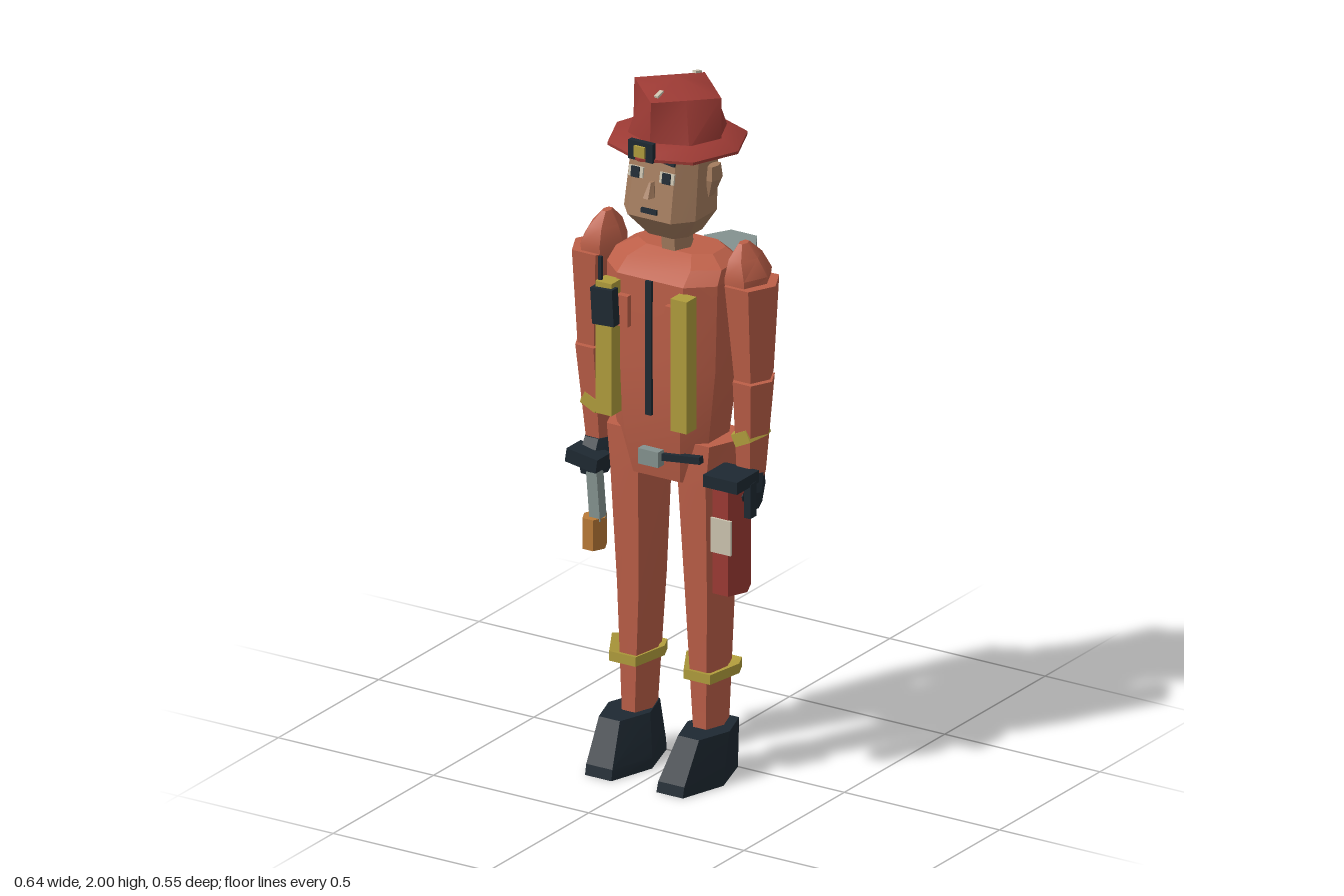
import * as THREE from 'three';
import { toCreasedNormals } from 'three/addons/utils/BufferGeometryUtils.js';

const mat = (name, color) => {
  const m = new THREE.MeshStandardMaterial({ color, side: THREE.DoubleSide });
  m.name = name;
  return m;
};

// Unit cross-sections as [x, z], walked from +x towards +z
const HEX = [[1, 0], [0.5, 1], [-0.5, 1], [-1, 0], [-0.5, -1], [0.5, -1]];
const OCT = [[1, 0.5], [0.6, 1], [-0.6, 1], [-1, 0.5], [-1, -0.5], [-0.6, -1], [0.6, -1], [1, -0.5]];
const ROUND = Array.from({ length: 8 }, (_, i) => [Math.cos(i * Math.PI / 4), Math.sin(i * Math.PI / 4)]);
const DIAMOND = ROUND.map(([x, z], i) => (i % 2 ? [x * 0.71, z * 0.71] : [x, z]));

// Capped loft through sections [y, x0, x1, z0, z1, shape?]; lift raises the sides
function loft(sections, shape, { crease = 0.2, lift = 0 } = {}) {
  const rings = sections.map(([y, x0, x1, z0, z1, own]) => (own || shape).map(([x, z]) => [
    (x0 + x1) / 2 + x * (x1 - x0) / 2, y + lift * Math.abs(x), (z0 + z1) / 2 + z * (z1 - z0) / 2]));
  const centre = ([y, x0, x1, z0, z1]) => [(x0 + x1) / 2, y, (z0 + z1) / 2];
  const n = shape.length, last = rings.length - 1, p = [];
  for (let i = 0; i < n; i++) {
    const j = (i + 1) % n;
    for (let r = 0; r < last; r++) {
      const a = rings[r], b = rings[r + 1];
      p.push(...a[i], ...b[i], ...a[j], ...a[j], ...b[i], ...b[j]);
    }
    p.push(...centre(sections[0]), ...rings[0][i], ...rings[0][j]);
    p.push(...centre(sections[last]), ...rings[last][j], ...rings[last][i]);
  }
  const g = new THREE.BufferGeometry();
  g.setAttribute('position', new THREE.Float32BufferAttribute(p, 3));
  return toCreasedNormals(g, crease);
}

export function createModel() {
  const root = new THREE.Group();
  root.name = 'firefighter';
  const suit = mat('suit orange red', 0xbc5f48);
  const red = mat('helmet red', 0x9c3a34);
  const skin = mat('skin', 0xa47c5e);
  const dark = mat('dark rubber', 0x1e2932);
  const grey = mat('tank grey', 0x84928f);
  const gold = mat('reflective yellow', 0xb09c3c);
  const wood = mat('tool orange', 0xb97a38);
  const cream = mat('label cream', 0xccc4b0);

  const add = (name, geometry, material) => {
    const m = new THREE.Mesh(geometry, material);
    m.name = name;
    root.add(m);
    return m;
  };
  const box = (name, material, x, y, z, w, h, d, rx = 0, rz = 0) => {
    const m = add(name, new THREE.BoxGeometry(w, h, d), material);
    m.position.set(x, y, z);
    m.rotation.set(rx, 0, rz);
    return m;
  };
  const mirror = (sections, s) => sections.map(([y, a, b, ...rest]) => (s > 0 ? [y, a, b, ...rest] : [y, -b, -a, ...rest]));

  // Torso and neck
  add('jacket', loft([
    [0.865, -0.125, 0.125, -0.02, 0.16], [1.0, -0.15, 0.15, -0.025, 0.185],
    [1.2, -0.175, 0.175, -0.035, 0.198], [1.45, -0.178, 0.178, -0.05, 0.195],
    [1.485, -0.17, 0.17, -0.045, 0.15], [1.51, -0.12, 0.12, -0.03, 0.1]], OCT), suit);
  add('neck', loft([[1.47, -0.042, 0.042, 0.01, 0.1], [1.6, -0.042, 0.042, 0.015, 0.11]], HEX), skin);

  // Head and face
  add('head', loft([
    [1.56, -0.065, 0.065, 0, 0.14], [1.63, -0.115, 0.115, -0.015, 0.2],
    [1.84, -0.107, 0.107, -0.027, 0.16]], OCT, { crease: 0.5 }), skin);
  for (const s of [-1, 1]) {
    add('ear', loft(mirror([[1.68, 0.108, 0.118, 0.05, 0.08], [1.73, 0.105, 0.14, 0.035, 0.09],
      [1.77, 0.108, 0.135, 0.04, 0.085]], s), HEX), skin);
    box('eyeWhite', cream, 0.05 * s, 1.755, 0.186, 0.046, 0.03, 0.006, -0.17);
    box('pupil', dark, 0.05 * s, 1.755, 0.19, 0.026, 0.03, 0.006, -0.17);
    box('eyebrow', dark, 0.05 * s, 1.798, 0.182, 0.045, 0.009, 0.008, -0.17, -0.12 * s);
  }
  add('nose', loft([[1.695, -0.017, 0.017, 0.18, 0.218], [1.735, -0.006, 0.006, 0.175, 0.195]], HEX), skin);
  box('mouth', dark, 0, 1.653, 0.199, 0.05, 0.014, 0.008, -0.17);

  // Helmet: broad sloping brim, crown turning from round to square, front badge
  add('helmetBrim', loft([
    [1.822, -0.11, 0.11, -0.05, 0.16], [1.815, -0.195, 0.195, -0.135, 0.25],
    [1.823, -0.195, 0.195, -0.135, 0.25], [1.85, -0.14, 0.14, -0.08, 0.19]], ROUND, { crease: 0.7 }), red);
  add('helmetCrown', loft([
    [1.84, -0.142, 0.142, -0.08, 0.195], [1.965, -0.14, 0.14, -0.078, 0.19, DIAMOND],
    [2.0, -0.001, 0.001, 0.055, 0.057, DIAMOND]], ROUND, { crease: 0.6 }), red);
  box('badgePlate', dark, 0, 1.842, 0.235, 0.078, 0.055, 0.016);
  box('badge', gold, 0, 1.842, 0.246, 0.034, 0.032, 0.008);
  for (const z of [-0.04, 0.15]) box('helmetGlint', cream, 0, z < 0 ? 1.98 : 1.978, z, 0.012, 0.006, 0.03, z < 0 ? -0.25 : 0.25);

  for (const s of [-1, 1]) {
    // Arms with pointed shoulder pads, cuff bands and gloves
    add('shoulder', loft(mirror([
      [1.44, 0.17, 0.29, 0, 0.13], [1.48, 0.17, 0.295, -0.005, 0.135],
      [1.53, 0.185, 0.265, 0.015, 0.12], [1.567, 0.208, 0.232, 0.05, 0.085]], s), HEX, { crease: 0.6 }), suit);
    add('upperArm', loft(mirror([
      [1.185, 0.2, 0.305, 0.01, 0.125], [1.46, 0.17, 0.322, -0.01, 0.145]], s), HEX), suit);
    add('forearm', loft(mirror([
      [0.9, 0.2, 0.285, 0.025, 0.105], [1.18, 0.195, 0.312, 0.01, 0.13]], s), HEX), suit);
    const cuff = add('cuffBand', loft([
      [-0.018, -0.052, 0.052, -0.052, 0.052], [0.018, -0.052, 0.052, -0.052, 0.052]], HEX), gold);
    cuff.position.set(0.243 * s, 1.015, 0.068);
    cuff.rotation.z = 0.45 * s;
    add('glove', loft(mirror([
      [0.81, 0.205, 0.28, 0.04, 0.135], [0.86, 0.19, 0.29, 0.03, 0.145],
      [0.91, 0.2, 0.285, 0.03, 0.11]], s), HEX), dark);

    // Legs, shin bands and wedge boots
    add('trouserLeg', loft(mirror([
      [0.12, 0.075, 0.155, 0.01, 0.125], [0.52, 0.04, 0.18, -0.005, 0.135],
      [0.86, 0.02, 0.198, -0.015, 0.155], [0.985, 0.06, 0.2, -0.015, 0.155]], s), HEX), suit);
    add('shinBand', loft(mirror([
      [0.272, 0.035, 0.205, -0.012, 0.147], [0.3, 0.035, 0.205, -0.012, 0.147]], s), HEX, { lift: 0.034 }), gold);
    add('boot', loft(mirror([
      [0, 0.03, 0.2, 0, 0.275], [0.03, 0.032, 0.2, 0, 0.268],
      [0.145, 0.06, 0.195, 0, 0.2]], s), HEX), dark);

    // Reflective stripe, harness strap and chest pocket
    box('chestStripe', gold, 0.121 * s, 1.24, 0.215, 0.052, 0.385, 0.05);
    box('harnessStrap', dark, 0.152 * s, 1.3, -0.07, 0.03, 0.37, 0.045, 0.06);
    box('pocket', suit, 0.085 * s, 1.35, 0.2, 0.05, 0.09, 0.03);
  }

  // Jacket details
  box('zipper', dark, 0, 1.255, 0.2, 0.019, 0.39, 0.009);
  box('radio', dark, -0.118, 1.365, 0.237, 0.07, 0.105, 0.03, 0, 0.06);
  box('radioAntenna', dark, -0.14, 1.455, 0.225, 0.01, 0.09, 0.01);
  box('belt', dark, 0.085, 0.945, 0.178, 0.14, 0.02, 0.02, 0, 0.12);
  box('beltBuckle', grey, 0, 0.935, 0.19, 0.065, 0.045, 0.03);
  box('backBelt', dark, 0, 0.935, -0.035, 0.11, 0.025, 0.03);

  // Air pack on the back
  box('packFrame', dark, 0, 1.235, -0.125, 0.22, 0.35, 0.09);
  add('airTank', loft([[1.06, -0.083, 0.083, -0.275, -0.13], [1.43, -0.083, 0.083, -0.275, -0.13]], HEX), grey);
  add('tankBand', loft([[1.237, -0.086, 0.086, -0.277, -0.128], [1.243, -0.086, 0.086, -0.277, -0.128]], HEX), dark);

  // Extinguisher in the left hand
  add('extinguisher', loft([[0.577, 0.17, 0.27, 0.07, 0.185], [0.88, 0.17, 0.27, 0.07, 0.185]], HEX), red);
  box('extinguisherLabel', cream, 0.225, 0.75, 0.188, 0.065, 0.1, 0.008);
  box('extinguisherHandle', dark, 0.235, 0.91, 0.155, 0.11, 0.035, 0.11);
  box('extinguisherHose', dark, 0.281, 0.85, 0.13, 0.02, 0.1, 0.03);

  // Tool in the right hand
  box('toolGrip', dark, -0.235, 0.865, 0.14, 0.1, 0.04, 0.07, 0, -0.15);
  box('toolShaft', grey, -0.223, 0.775, 0.12, 0.034, 0.19, 0.034, 0, 0.08);
  add('toolHead', loft([[0.6, -0.26, -0.193, 0.085, 0.155], [0.69, -0.26, -0.193, 0.085, 0.155]], HEX), wood);

  return root;
}
